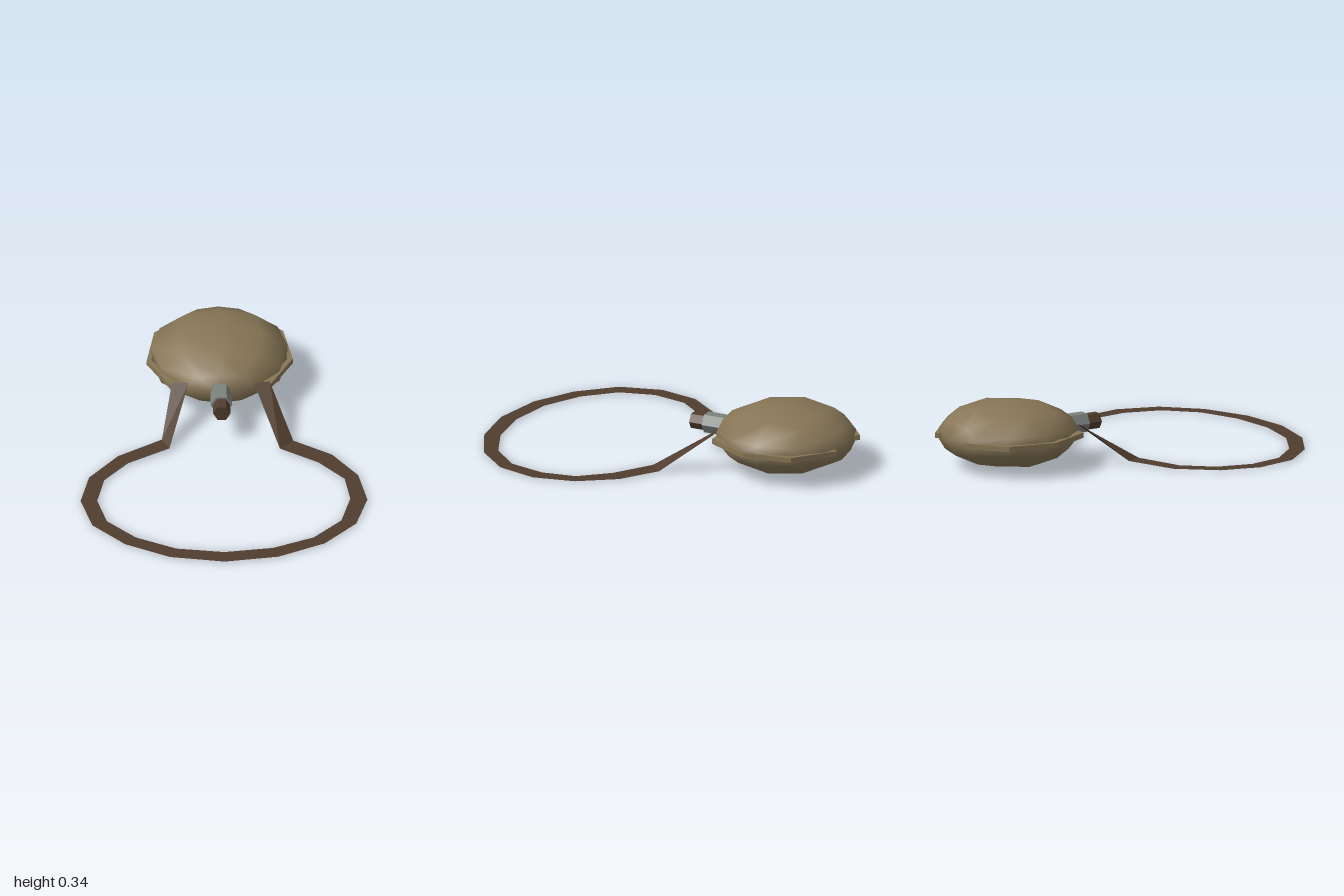
import * as THREE from 'three';
import { toCreasedNormals } from 'three/addons/utils/BufferGeometryUtils.js';

const CY = 0.174, CZ = -0.636; // centre of the flask

export function createModel() {
  const model = new THREE.Group();
  const canvas = new THREE.MeshStandardMaterial({ color: 0x877656 });
  canvas.name = 'canvasTan';
  const metal = new THREE.MeshStandardMaterial({ color: 0x7c827e });
  metal.name = 'neckGrey';
  const leather = new THREE.MeshStandardMaterial({ color: 0x503d2e, side: THREE.DoubleSide });
  leather.name = 'leatherBrown';

  const add = (name, geometry, material) => {
    const mesh = new THREE.Mesh(geometry, material);
    mesh.name = name;
    model.add(mesh);
    return mesh;
  };

  // Flattened flask, its poles on the z axis
  const body = new THREE.SphereGeometry(1, 10, 6);
  body.rotateY(Math.PI / 2).rotateX(Math.PI / 2).scale(0.366, 0.17, 0.36);
  add('flaskBody', body, canvas).position.set(0, CY, CZ);

  // Hexagonal neck and stopper
  const hex = (radius, z0, z1) => {
    const g = new THREE.CylinderGeometry(radius, radius, z1 - z0, 6);
    g.rotateY(Math.PI / 2).rotateX(Math.PI / 2).translate(0, CY, (z0 + z1) / 2);
    return toCreasedNormals(g, 0.5);
  };
  add('neck', hex(0.055, -0.32, -0.18), metal);
  add('stopper', hex(0.044, -0.2, -0.103), leather);

  // Narrow bands along both sides of the flask
  const bandPath = [
    [0.25, -0.335], [0.374, -0.57], [0.33, -0.825], [0.135, -0.99],
    [0.118, -0.97], [0.31, -0.815], [0.35, -0.575], [0.2, -0.335],
  ];
  for (const side of [1, -1]) {
    const shape = new THREE.Shape(bandPath.map(([x, z]) => new THREE.Vector2(side * x, -z)));
    const g = new THREE.ExtrudeGeometry(shape, { depth: 0.027, bevelEnabled: false });
    g.rotateX(-Math.PI / 2).translate(0, CY - 0.0135, 0);
    add(side > 0 ? 'leftBand' : 'rightBand', g, canvas);
  }

  // Carrying strap lying on the ground: outer x, z, inner x, z, height
  const rows = [
    [-0.25, -0.33, -0.165, -0.325, 0.215],
    [-0.307, -0.1, -0.27, -0.02, 0.02],
    [-0.535, 0.03, -0.485, 0.095, 0.01],
    [-0.687, 0.22, -0.61, 0.245, 0.01],
    [-0.735, 0.43, -0.65, 0.43, 0.01],
    [-0.68, 0.65, -0.605, 0.615, 0.01],
    [-0.515, 0.825, -0.46, 0.765, 0.01],
    [-0.29, 0.945, -0.255, 0.87, 0.01],
    [-0.01, 0.993, -0.01, 0.907, 0.01],
    [0.265, 0.955, 0.24, 0.875, 0.01],
    [0.505, 0.84, 0.45, 0.785, 0.01],
    [0.67, 0.665, 0.595, 0.635, 0.01],
    [0.732, 0.45, 0.645, 0.44, 0.01],
    [0.69, 0.23, 0.62, 0.26, 0.01],
    [0.56, 0.04, 0.49, 0.11, 0.01],
    [0.365, -0.09, 0.295, -0.02, 0.01],
    [0.25, -0.34, 0.17, -0.325, 0.207],
  ];
  const positions = [], index = [];
  rows.forEach(([ox, oz, ix, iz, y], i) => {
    positions.push(ox, y, oz, ix, y, iz);
    if (i < rows.length - 1) {
      const a = i * 2;
      index.push(a, a + 2, a + 1, a + 1, a + 2, a + 3);
    }
  });
  const strap = new THREE.BufferGeometry();
  strap.setAttribute('position', new THREE.Float32BufferAttribute(positions, 3));
  strap.setIndex(index);
  add('strap', toCreasedNormals(strap, 0.3), leather);

  return model;
}
